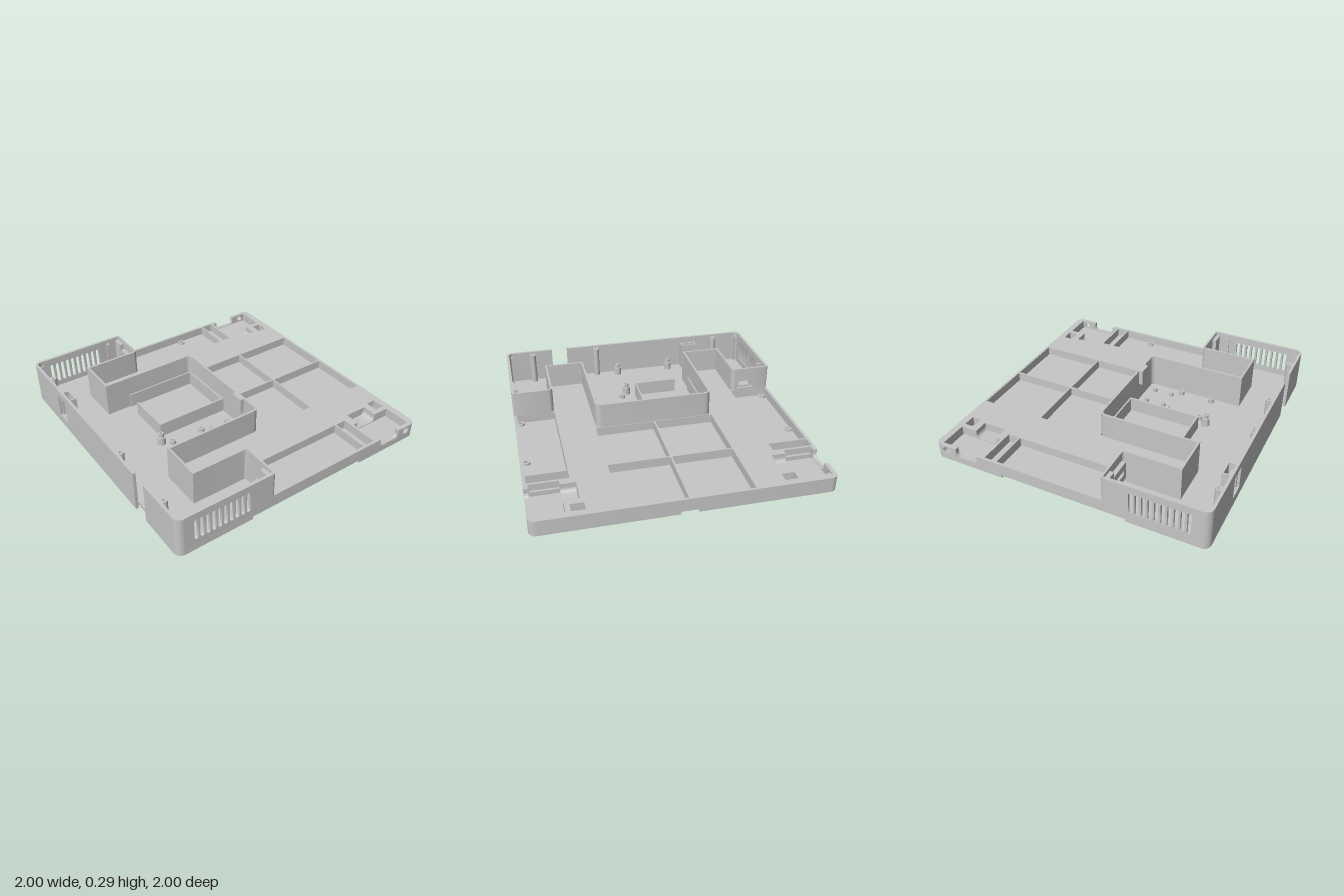
import * as THREE from 'three';
import { toCreasedNormals } from 'three/addons/utils/BufferGeometryUtils.js';

const FLOOR = 0.045, DECK = 0.11, TOP = 0.295, T = 0.02;

// Turns [a, b, radius] corners into a polyline with rounded right angles
function rounded(pts) {
  const out = [];
  pts.forEach(([x, y, r], i) => {
    if (!r) return out.push([x, y]);
    const n = pts.length;
    const dir = (q) => {
      const l = Math.hypot(q[0] - x, q[1] - y);
      return [(q[0] - x) / l, (q[1] - y) / l];
    };
    const a = dir(pts[(i + n - 1) % n]), b = dir(pts[(i + 1) % n]);
    for (let k = 0; k <= 8; k++) {
      const t = (k / 8) * Math.PI / 2, u = r * (1 - Math.cos(t)), v = r * (1 - Math.sin(t));
      out.push([x + a[0] * v + b[0] * u, y + a[1] * v + b[1] * u]);
    }
  });
  return out;
}

// Closed outline of a polyline thickened to one side with mitred corners
function thicken(path, t) {
  const normal = (p, q) => {
    const l = Math.hypot(q[0] - p[0], q[1] - p[1]);
    return [(q[1] - p[1]) / l, -(q[0] - p[0]) / l];
  };
  const inner = path.map((p, i) => {
    const n1 = i ? normal(path[i - 1], p) : normal(p, path[1]);
    const n2 = i < path.length - 1 ? normal(p, path[i + 1]) : n1;
    const k = t / (1 + n1[0] * n2[0] + n1[1] * n2[1]);
    return [p[0] + (n1[0] + n2[0]) * k, p[1] + (n1[1] + n2[1]) * k];
  });
  return [...path, ...inner.reverse()];
}

const rect = (x0, x1, y0, y1) => [[x0, y0], [x1, y0], [x1, y1], [x0, y1]];
const circle = (x, y, r, n = 20) => Array.from({ length: n }, (_, i) =>
  [x + r * Math.cos(i / n * Math.PI * 2), y + r * Math.sin(i / n * Math.PI * 2)]);

function extrude(outline, depth, holes = []) {
  const vec = (pts) => pts.map((p) => new THREE.Vector2(p[0], p[1]));
  const shape = new THREE.Shape(vec(outline));
  holes.forEach((h) => shape.holes.push(new THREE.Path(vec(h))));
  return new THREE.ExtrudeGeometry(shape, { depth, bevelEnabled: false });
}

export function createModel() {
  const model = new THREE.Group();
  model.name = 'enclosureTray';
  const plastic = new THREE.MeshStandardMaterial({ color: 0xc6c6c6 });
  plastic.name = 'light grey plastic';

  const add = (name, geo) => {
    const mesh = new THREE.Mesh(toCreasedNormals(geo, 0.5), plastic);
    mesh.name = name;
    model.add(mesh);
  };
  // Horizontal plan (x, z) raised from y0 to y1
  const slab = (name, outline, y0, y1, holes) =>
    add(name, extrude(outline, y1 - y0, holes).rotateX(Math.PI / 2).translate(0, y1, 0));
  // Side profile (z, y) spanning x0 to x1
  const side = (name, outline, x0, x1, holes) =>
    add(name, extrude(outline, x1 - x0, holes).rotateY(-Math.PI / 2).translate(x1, 0, 0));
  // Front profile (x, y) spanning z0 to z1
  const front = (name, outline, z0, z1, holes) =>
    add(name, extrude(outline, z1 - z0, holes).translate(0, 0, z0));
  const wall = (name, pts, t, y0, y1) => slab(name, thicken(rounded(pts), t), y0, y1);
  const box = (name, x0, x1, y0, y1, z0, z1) => slab(name, rect(x0, x1, z0, z1), y0, y1);
  const span = (s, a, b) => (s > 0 ? [a, b] : [-b, -a]);

  // Floor plate with cable notch, hinge slots and screw holes
  const R = 0.05;
  const floorHoles = [];
  for (const s of [1, -1]) {
    floorHoles.push(rect(...span(s, 0.77, 0.97), -0.66, -0.62));
    for (const z of [-0.28, 0.25]) floorHoles.push(circle(s * 0.953, z, 0.014));
  }
  slab('floor', rounded([[-1, -1, R], [1, -1, R], [1, 1, R], [0.63, 1], [0.63, 0.975],
    [0.505, 0.975], [0.505, 1], [-1, 1, R]]), 0.02, FLOOR, floorHoles);

  // Foot lip under the floor, broken at the sides, back and cable notch
  [[[0.63, 1], [1, 1, R], [1, 0.45]],
    [[1, -0.465], [1, -1, R], [0.06, -1]],
    [[-0.06, -1], [-1, -1, R], [-1, -0.465]],
    [[-1, 0.45], [-1, 1, R], [0.505, 1]],
  ].forEach((p) => wall('bottomLip', p, T, 0, 0.02));

  // Raised deck with open pockets
  const halfDeck = [[0.423, -0.028], [0.423, 0.692], [0.708, 0.692], [0.708, 0.287], [0.985, 0.287],
    [0.985, 0.3], [1, 0.3], [1, -0.66], [0.97, -0.66], [0.97, -0.62], [0.77, -0.62], [0.77, -0.66],
    [0.665, -0.66], [0.665, -0.83], [0.77, -0.83], [0.77, -0.95], [1, -0.95]];
  const deckOutline = [...halfDeck, ...rounded([[1, -0.95], [1, -1, 0.049], [0, -1]]).slice(1, -1)];
  const mirrored = deckOutline.map(([x, z]) => [-x, z]).reverse();
  const deckHoles = [];
  for (const s of [1, -1]) {
    deckHoles.push(
      rect(...span(s, 0.007, 0.435), -0.982, -0.518),
      rect(...span(s, 0.007, 0.435), -0.507, -0.037),
      rect(...span(s, 0.7, 0.98), -0.603, -0.52),
      rect(...span(s, 0.7, 0.98), -0.508, 0.279),
      rect(...span(s, 0.645, 0.735), -0.95, -0.88));
  }
  slab('deck', [...deckOutline, ...mirrored], FLOOR, DECK, deckHoles);

  // Tall partition wall between deck and electronics bay, with a port opening
  const half = [[1, 0.302], [1, 0.28, 0.02], [0.7, 0.28, 0.03], [0.7, 0.685], [0.43, 0.685], [0.43, -0.033, 0.045]];
  const flip = half.map(([x, z, r]) => [-x, z, r]).reverse();
  wall('partitionWall', [...half, ...flip.slice(0, 4), [-0.735, 0.28]], 0.015, FLOOR, TOP);
  wall('partitionWall', [[-0.885, 0.28], ...flip.slice(4)], 0.015, FLOOR, TOP);
  front('portPanel', rect(-0.885, -0.735, FLOOR, TOP), 0.28, 0.295,
    [rounded([[-0.875, 0.13, 0.01], [-0.745, 0.13, 0.01], [-0.745, 0.195, 0.01], [-0.875, 0.195, 0.01]])]);
  front('portFrame', rect(-0.885, -0.735, 0.1, 0.23), 0.295, 0.325, [rect(-0.855, -0.765, 0.145, 0.18)]);

  // Front walls and corners
  wall('frontCorner', [[0.63, 1], [1, 1, R], [1, 0.949]], T, FLOOR, TOP);
  wall('frontCorner', [[-1, 0.949], [-1, 1, R], [-0.949, 1]], T, FLOOR, TOP);
  front('frontWall', rect(-0.95, 0.505, FLOOR, TOP), 0.98, 1, [rect(-0.588, -0.467, 0.07, 0.24)]);

  // Recessed switch and its open housing
  for (const x of [-0.592, -0.477]) box('switchCheek', x, x + 0.012, FLOOR, 0.25, 0.912, 0.98);
  box('switchHousingBack', -0.58, -0.477, FLOOR, 0.25, 0.912, 0.922);
  front('switchFrame', rect(-0.592, -0.465, 0.065, 0.245), 0.965, 0.982, [rect(-0.57, -0.487, 0.075, 0.215)]);
  slab('switchLever', [[-0.56, 0.945], [-0.497, 0.945], [-0.487, 0.968], [-0.57, 0.968]], 0.07, 0.22);
  add('switchPin', new THREE.CylinderGeometry(0.009, 0.009, 0.01, 16).rotateX(Math.PI / 2)
    .translate(-0.528, 0.175, 0.97));

  for (const s of [1, -1]) {
    // Vented side walls
    const vents = Array.from({ length: 10 }, (_, i) => {
      const z = 0.869 - i * 0.0425;
      return rounded([[z - 0.0135, 0.083, 0.013], [z + 0.0135, 0.083, 0.013],
        [z + 0.0135, 0.243, 0.013], [z - 0.0135, 0.243, 0.013]]);
    });
    side('ventedSideWall', rect(0.3, 0.95, FLOOR, TOP), ...span(s, 1 - T, 1), vents);
    box('wallClip', ...span(s, 0.95, 0.982), FLOOR, 0.27, 0.385, 0.397);
    box('wallClip', ...span(s, 0.95, 0.96), FLOOR, 0.27, 0.397, 0.415);
    box('cornerStop', ...span(s, 0.955, 0.965), FLOOR, 0.27, 0.935, 0.982);
    box('wallLedge', ...span(s, 0.895, 0.985), FLOOR, 0.27, 0.293, 0.325);

    // Hinge pocket: pin hole, rounded channel and slot bar
    side('hingePinPlate', rect(-0.95, -0.83, FLOOR, DECK), ...span(s, 0.97, 1), [circle(-0.91, 0.075, 0.027)]);
    side('hingePinCollar', circle(-0.91, 0.075, 0.028), ...span(s, 0.97, 0.985), [circle(-0.91, 0.075, 0.02)]);
    const channel = rounded([[-0.84, 0.045], [-0.65, 0.045], [-0.65, 0.085], [-0.66, 0.085],
      [-0.66, 0.05, 0.03], [-0.83, 0.05, 0.03], [-0.83, 0.085], [-0.84, 0.085]]);
    side('hingeChannel', channel, ...span(s, 0.655, 0.77));
    side('hingeChannel', channel, ...span(s, 0.97, 0.999));
    box('slotBar', ...span(s, 0.77, 0.96), 0.025, 0.07, -0.65, -0.632);

    // Screw bosses in the side pockets
    for (const z of [-0.28, 0.25])
      slab('screwBoss', circle(s * 0.953, z, 0.026), FLOOR, 0.06, [circle(s * 0.953, z, 0.014)]);
  }

  // Battery compartment ribs and partition bracket
  box('batteryRib', 0.016, 0.028, FLOOR, 0.15, -0.018, 0.522);
  box('batteryRib', -0.3, 0.016, FLOOR, 0.15, 0.51, 0.522);
  box('batteryRib', -0.416, -0.405, FLOOR, 0.15, -0.018, 0.515);
  box('batteryRib', -0.405, 0.016, FLOOR, 0.15, -0.018, -0.006);
  box('partitionBracket', 0.175, 0.275, 0.18, TOP, -0.018, 0.01);

  // Hollow posts: x, z, radius, top height
  const post = (name, x, z, r, top, bore) =>
    slab(name, circle(x, z, r), FLOOR, top, [circle(x, z, bore, 14)]);
  for (const x of [-0.755, 0.265, 0.79]) {
    post('wallPost', x, 0.953, 0.023, 0.28, 0.01);
    box('wallPostWeb', x - 0.02, x + 0.02, FLOOR, 0.28, 0.968, 0.982);
  }
  for (const [x, z] of [[-0.345, 0.925], [0.092, 0.925], [0.092, 0.555]]) {
    post('standoff', x, z, 0.029, 0.105, 0.011);
    post('standoffNeck', x, z, 0.018, 0.135, 0.01);
  }
  for (const x of [0.137, 0.377]) for (const z of [0.25, 0.49]) post('boardPost', x, z, 0.022, 0.075, 0.009);
  for (const x of [0.17, 0.322]) for (const z of [0.05, 0.185]) post('smallBoardPost', x, z, 0.017, 0.075, 0.007);

  return model;
}
